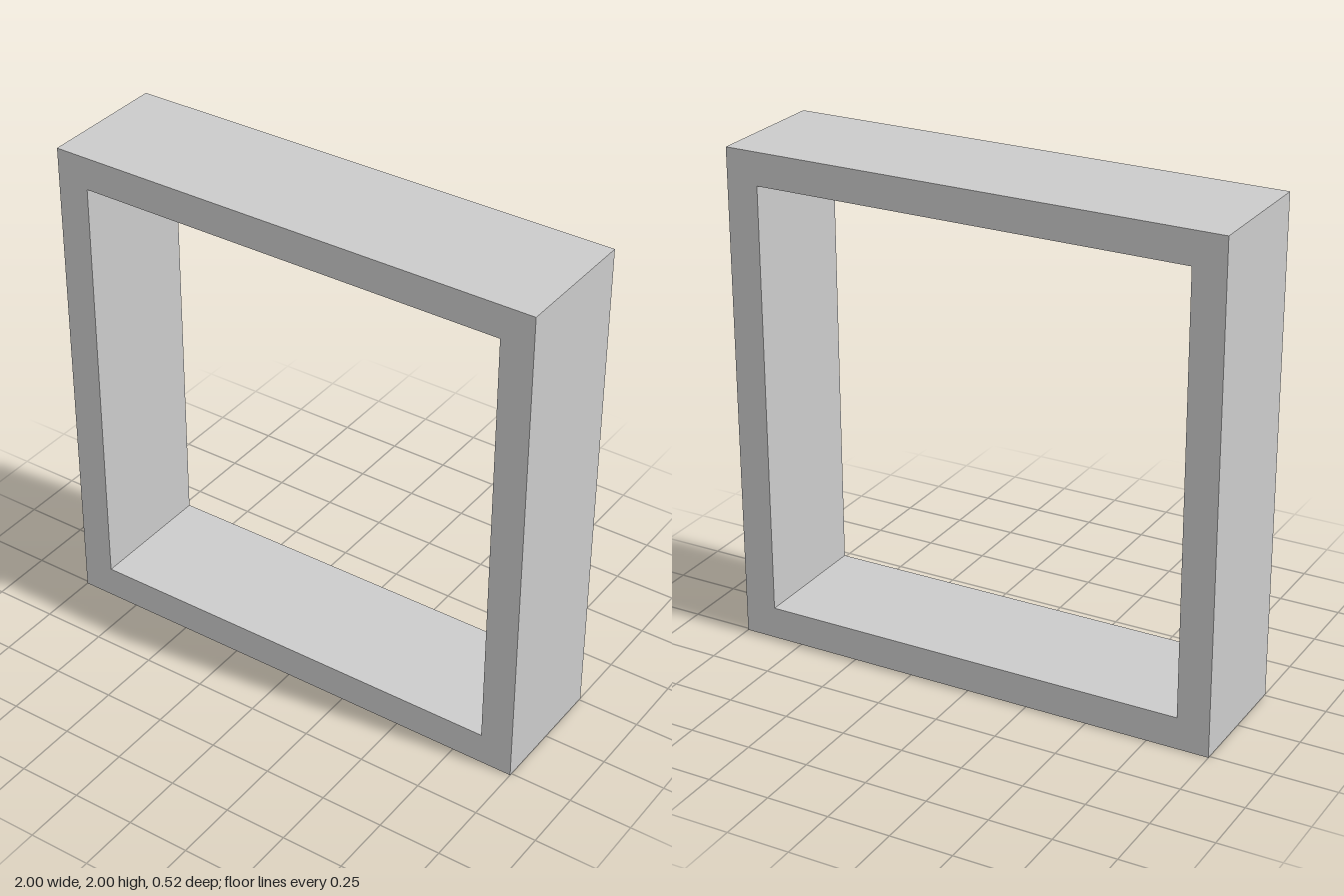
import * as THREE from 'three';

const OUTER = 1;     // half width of the square
const INNER = 0.87;  // half width of the opening
const DEPTH = 0.52;

// Square outline centred on the origin
function square(path, half) {
  path.moveTo(-half, -half);
  path.lineTo(half, -half);
  path.lineTo(half, half);
  path.lineTo(-half, half);
  path.closePath();
  return path;
}

export function createModel() {
  const group = new THREE.Group();
  group.name = 'squareFrame';

  // Open square frame, extruded front to back
  const shape = square(new THREE.Shape(), OUTER);
  shape.holes.push(square(new THREE.Path(), INNER));
  const geometry = new THREE.ExtrudeGeometry(shape, { depth: DEPTH, bevelEnabled: false });
  geometry.translate(0, OUTER, -DEPTH / 2);

  const frame = new THREE.Mesh(geometry, new THREE.MeshStandardMaterial({ color: 0xcccccc }));
  frame.name = 'frame';
  group.add(frame);
  return group;
}
